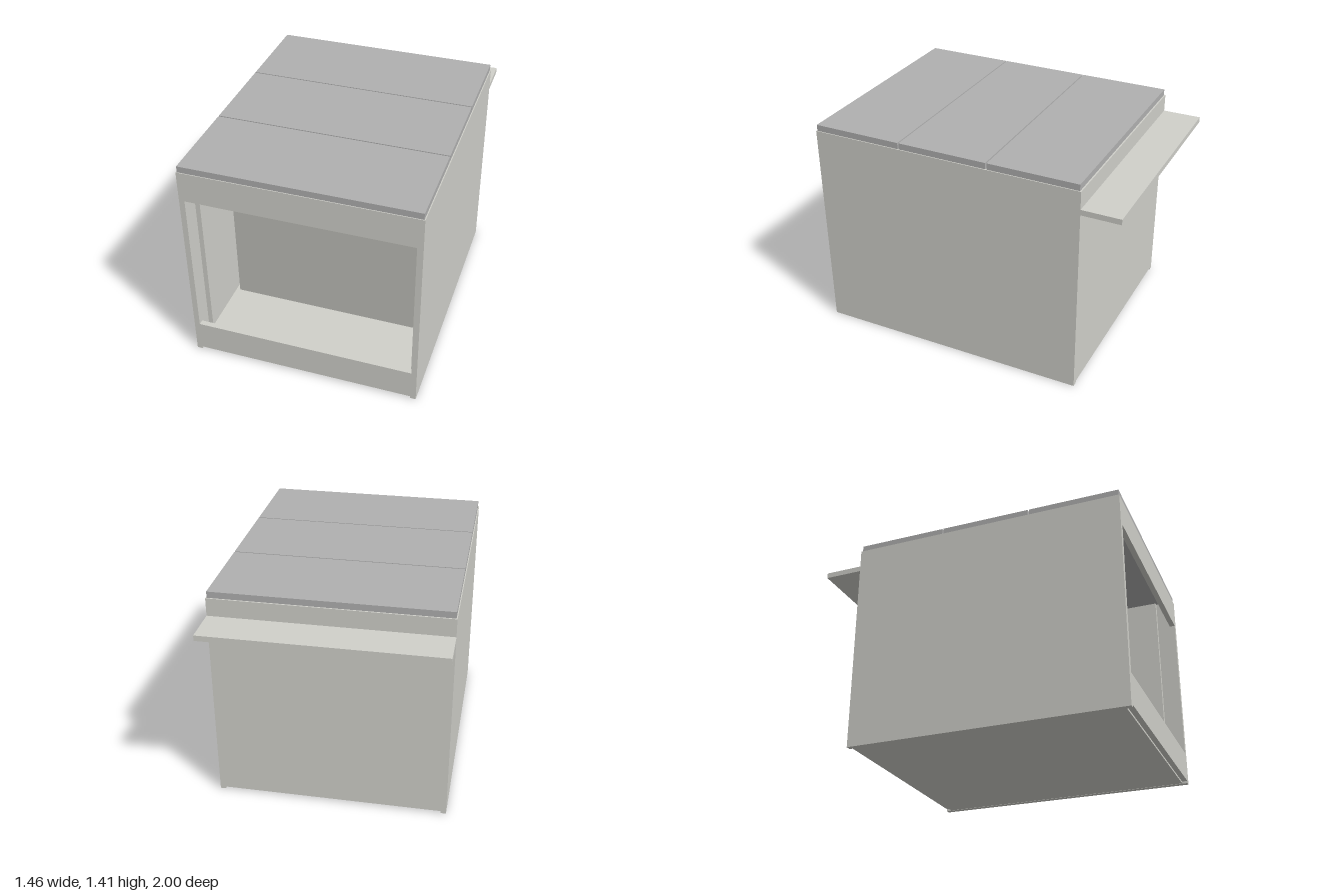
import * as THREE from 'three';

const paint = (color) => new THREE.MeshStandardMaterial({ color });

export function createModel() {
  const model = new THREE.Group();
  const shell = paint(0xd0d0ca);
  const roof = paint(0xb0b0b0);
  const inner = paint(0xbebeb8);

  // Box given by its lower and upper limits on each axis
  function slab(name, [x0, x1], [y0, y1], [z0, z1], material) {
    const mesh = new THREE.Mesh(new THREE.BoxGeometry(x1 - x0, y1 - y0, z1 - z0), material);
    mesh.position.set((x0 + x1) / 2, (y0 + y1) / 2, (z0 + z1) / 2);
    mesh.name = name;
    model.add(mesh);
  }

  const W = 0.73, T = 0.035, H = 1.37, back = -0.755, front = 1;
  const I = W - T;
  const span = [-I, I];

  // Side walls and the liners set back behind the opening
  for (const [side, s] of [['left', 1], ['right', -1]]) {
    const range = (a, b) => (s > 0 ? [a, b] : [-b, -a]);
    slab(side + 'Wall', range(I, W), [0, H], [back, front], shell);
    slab(side + 'Liner', range(0.665, I), [0.1, H - 0.005], [back + T, 0.88], shell);
  }

  // Front sill and header framing the opening, and the back wall
  slab('frontSill', span, [0.015, 0.212], [front - T, front], shell);
  slab('frontHeader', span, [1.175, H], [front - T, front], shell);
  slab('backWall', span, [0.015, H], [back, back + T], shell);

  // Raised floor and the upright panel inside
  slab('floor', span, [0.002, 0.1], [back + T, front - T], shell);
  slab('innerPanel', [-0.64, 0.64], [0.1, H - 0.005], [0.465, 0.5], inner);

  // Three roof boards with narrow gaps
  const pitch = 0.583;
  for (let i = 0; i < 3; i++) {
    const z1 = 0.995 - i * pitch;
    slab('roofBoard' + (i + 1), [-0.724, 0.724], [H, 1.41], [z1 - pitch + 0.008, z1], roof);
  }

  // Shelf standing out from the back
  slab('backShelf', [-W, W], [1.222, 1.257], [-1, back], shell);

  return model;
}
